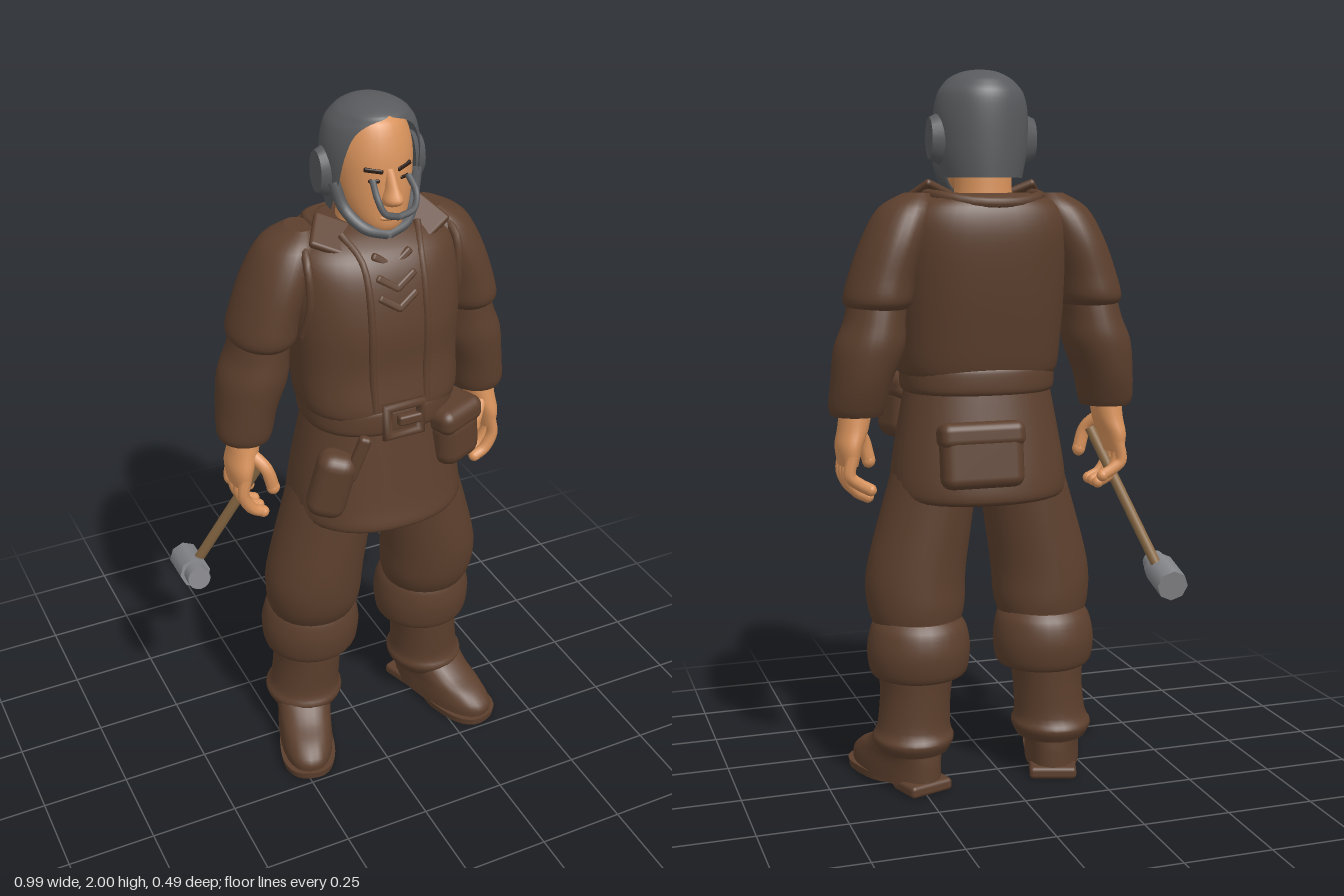
import * as THREE from 'three';
import { RoundedBoxGeometry } from 'three/addons/geometries/RoundedBoxGeometry.js';

const mat = (name, color, side = THREE.FrontSide) => {
  const m = new THREE.MeshStandardMaterial({ color, side });
  m.name = name;
  return m;
};
const cloth = mat('brown cloth', 0x5c3f2d);
const skin = mat('skin', 0xd9935c);
const iron = mat('dark iron', 0x585a5d, THREE.DoubleSide);
const wood = mat('wood', 0x8a6a45);
const steel = mat('steel', 0x85868a);
const dark = mat('dark brow', 0x2c1c14);

const V = (x, y, z) => new THREE.Vector3(x, y, z);
const spline = (a, b, c, d, t) =>
  b + 0.5 * t * (c - a + t * (2 * a - 5 * b + 4 * c - d + t * (3 * (b - c) + d - a)));

// Skin over cross-sections [y, x, z, rx, rz, gap], listed upwards; gap opens the front
function loft(rows, { n = 28, p = 1, steps = 4, open = false } = {}) {
  const rings = [];
  for (let i = 0; i < rows.length - 1; i++) {
    const q = [rows[Math.max(i - 1, 0)], rows[i], rows[i + 1], rows[Math.min(i + 2, rows.length - 1)]];
    for (let s = 0; s < steps; s++) {
      rings.push(rows[0].map((_, k) => spline(q[0][k], q[1][k], q[2][k], q[3][k], s / steps)));
    }
  }
  rings.push(rows[rows.length - 1]);
  const pos = [], idx = [];
  const addRing = ([y, x, z, rx, rz, gap = 0]) => {
    const g = Math.max(gap, 0);
    for (let j = 0; j < n; j++) {
      const t = open ? g + (2 * Math.PI - 2 * g) * j / (n - 1) : 2 * Math.PI * j / n;
      const s = Math.sin(t), c = Math.cos(t);
      pos.push(x + rx * Math.sign(s) * Math.abs(s) ** p, y, z + rz * Math.sign(c) * Math.abs(c) ** p);
    }
  };
  rings.forEach(addRing);
  const m = open ? n - 1 : n;
  for (let i = 0; i < rings.length - 1; i++) for (let j = 0; j < m; j++) {
    const a = i * n + j, b = i * n + (j + 1) % n;
    idx.push(a, b, a + n, b, b + n, a + n);
  }
  // Flat caps with their own corners
  if (!open) for (const top of [false, true]) {
    const r = rings[top ? rings.length - 1 : 0], base = pos.length / 3;
    addRing(r);
    pos.push(r[1], r[0], r[2]);
    for (let j = 0; j < n; j++) {
      const a = base + j, b = base + (j + 1) % n;
      idx.push(base + n, top ? a : b, top ? b : a);
    }
  }
  const g = new THREE.BufferGeometry();
  g.setAttribute('position', new THREE.Float32BufferAttribute(pos, 3));
  g.setIndex(idx);
  g.computeVertexNormals();
  return g;
}
const tube = (pts, r) => new THREE.TubeGeometry(new THREE.CatmullRomCurve3(pts), 16, r, 8);
const box = (w, h, d, r = 0.02) => new RoundedBoxGeometry(w, h, d, 3, r);

function add(parent, name, geo, material, at = [0, 0, 0], rot = [0, 0, 0]) {
  const m = new THREE.Mesh(geo, material);
  m.name = name;
  m.position.set(...at);
  m.rotation.set(...rot);
  parent.add(m);
  return m;
}
const ball = (parent, name, material, at, size, rot) =>
  add(parent, name, new THREE.SphereGeometry(1, 16, 12), material, at, rot).scale.set(...size);

function buildLeg(body, s, side) {
  const part = (name, rows, opt) =>
    add(body, side + name, loft(rows.map(([y, x, ...r]) => [y, s * x, ...r]), opt), cloth);
  part('Trouser', [[0.46, 0.187, 0, 0.12, 0.115], [0.52, 0.187, 0.01, 0.138, 0.135], [0.62, 0.184, 0.018, 0.141, 0.142],
    [0.8, 0.148, 0.02, 0.129, 0.142], [0.95, 0.12, 0.02, 0.11, 0.14]]);
  part('KneeCuff', [[0.32, 0.187, -0.015, 0.11, 0.11], [0.335, 0.187, -0.015, 0.137, 0.132], [0.4, 0.187, -0.015, 0.146, 0.144],
    [0.46, 0.186, -0.012, 0.136, 0.136], [0.488, 0.186, -0.008, 0.12, 0.12]]);
  part('Gaiter', [[0.11, 0.208, -0.025, 0.1, 0.105], [0.145, 0.208, -0.025, 0.115, 0.124], [0.18, 0.205, -0.022, 0.103, 0.11],
    [0.28, 0.198, -0.018, 0.1, 0.112], [0.36, 0.195, -0.018, 0.112, 0.115]]);
  // Boot turned outwards
  const boot = new THREE.Group();
  boot.name = side + 'Boot';
  boot.position.set(s * 0.215, 0, -0.02);
  boot.rotation.y = s * 0.32;
  body.add(boot);
  add(boot, 'bootUpper', loft([[0.018, 0, 0.075, 0.08, 0.185], [0.05, 0, 0.075, 0.08, 0.184], [0.085, 0, 0.055, 0.079, 0.163],
    [0.115, 0, 0.025, 0.082, 0.13], [0.16, 0, -0.005, 0.088, 0.1]], { p: 0.85 }), cloth);
  add(boot, 'bootSole', loft([[0, 0, 0.145, 0.08, 0.122], [0.022, 0, 0.145, 0.083, 0.125]], { p: 0.8, steps: 1 }), cloth);
  add(boot, 'bootHeel', box(0.135, 0.035, 0.11, 0.012), cloth, [0, 0.0175, -0.06]);
}

function buildArm(body, s, side) {
  const part = (name, rows, material) =>
    add(body, side + name, loft(rows.map(([y, x, ...r]) => [y, s * x, ...r])), material);
  part('UpperSleeve', [[1.36, 0.303, -0.045, 0.075, 0.1], [1.385, 0.302, -0.045, 0.092, 0.125], [1.45, 0.288, -0.043, 0.09, 0.125],
    [1.55, 0.252, -0.042, 0.088, 0.12], [1.63, 0.215, -0.04, 0.078, 0.095], [1.67, 0.19, -0.04, 0.035, 0.05]], cloth);
  part('LowerSleeve', [[1.075, 0.362, -0.04, 0.07, 0.072], [1.1, 0.361, -0.042, 0.078, 0.083], [1.17, 0.35, -0.05, 0.083, 0.1],
    [1.26, 0.328, -0.052, 0.095, 0.112], [1.33, 0.312, -0.05, 0.083, 0.107], [1.4, 0.3, -0.045, 0.08, 0.1]], cloth);
  part('Palm', [[0.94, 0.388, -0.035, 0.026, 0.064], [0.99, 0.385, -0.035, 0.036, 0.07], [1.04, 0.372, -0.035, 0.042, 0.06],
    [1.11, 0.362, -0.038, 0.045, 0.05]], skin);
  for (let i = 0; i < 4; i++) {
    const z = 0.018 - i * 0.036, drop = i === 3 ? 0.025 : 0;
    const pts = [V(s * 0.386, 0.97, z), V(s * 0.394, 0.915, z), V(s * 0.37, 0.868 + drop, z), V(s * 0.338, 0.85 + drop, z)];
    add(body, side + 'Finger', tube(pts, 0.017), skin);
    ball(body, side + 'FingerTip', skin, pts[3].toArray(), [0.017, 0.017, 0.017]);
  }
  const thumb = [V(s * 0.365, 1.04, -0.005), V(s * 0.33, 0.995, 0.03), V(s * 0.313, 0.935, 0.035)];
  add(body, side + 'Thumb', tube(thumb, 0.019), skin);
  ball(body, side + 'ThumbTip', skin, thumb[2].toArray(), [0.019, 0.022, 0.019]);
}

function buildHead(body) {
  const head = new THREE.Group();
  head.name = 'head';
  body.add(head);
  add(head, 'neck', loft([[1.58, 0, -0.03, 0.1, 0.09], [1.66, 0, -0.035, 0.08, 0.078], [1.76, 0, -0.035, 0.078, 0.075]]), skin);
  add(head, 'face', loft([[1.665, 0, 0.065, 0.035, 0.035], [1.69, 0, 0.045, 0.065, 0.07], [1.735, 0, 0.025, 0.087, 0.092],
    [1.8, 0, 0.005, 0.101, 0.11], [1.88, 0, -0.005, 0.104, 0.112], [1.95, 0, -0.01, 0.082, 0.092], [1.975, 0, -0.01, 0.04, 0.05]]), skin);
  add(head, 'nose', loft([[1.755, 0, 0.12, 0.024, 0.025], [1.77, 0, 0.125, 0.027, 0.034], [1.8, 0, 0.115, 0.017, 0.027],
    [1.845, 0, 0.1, 0.012, 0.015]], { n: 12 }), skin);
  ball(head, 'lowerLip', skin, [0, 1.715, 0.107], [0.032, 0.01, 0.016]);
  // Helmet shell with an arched face opening
  add(head, 'helmet', loft([[1.71, 0, -0.015, 0.112, 0.122, 1.5], [1.78, 0, -0.013, 0.126, 0.127, 1.15], [1.87, 0, -0.012, 0.13, 0.129, 0.95],
    [1.93, 0, -0.012, 0.119, 0.124, 0.78], [1.96, 0, -0.006, 0.1, 0.112, 0.5], [1.978, 0, 0, 0.08, 0.097, 0],
    [1.994, 0, -0.002, 0.045, 0.055, 0], [2, 0, -0.003, 0.001, 0.001, 0]], { n: 40, open: true }), iron);
  for (const s of [-1, 1]) {
    const cup = add(head, 'earCup', new THREE.CylinderGeometry(0.045, 0.058, 0.034, 20), iron, [s * 0.131, 1.815, -0.02], [0, 0, -s * Math.PI / 2]);
    cup.scale.set(1.25, 1, 0.85);
    add(head, 'chinStrap', tube([V(s * 0.118, 1.8, 0.025), V(s * 0.098, 1.73, 0.045), V(s * 0.06, 1.685, 0.088), V(0, 1.665, 0.1)], 0.016), iron);
    add(head, 'moustache', tube([V(s * 0.05, 1.82, 0.11), V(s * 0.054, 1.785, 0.148), V(s * 0.04, 1.75, 0.163), V(0, 1.735, 0.162)], 0.009), iron);
    add(head, 'brow', box(0.05, 0.012, 0.009, 0.004), dark, [s * 0.043, 1.842, 0.1], [0, s * 0.4, s * 0.15]);
    add(head, 'eye', box(0.03, 0.01, 0.009, 0.004), dark, [s * 0.042, 1.815, 0.102], [0, s * 0.4, 0]);
  }
}

function buildClothes(body) {
  add(body, 'skirt', loft([[0.825, 0, 0.025, 0.225, 0.195], [0.84, 0, 0.025, 0.248, 0.213], [0.9, 0, 0.022, 0.247, 0.205],
    [1.02, 0, 0.025, 0.228, 0.185], [1.17, 0, 0.03, 0.2, 0.16]], { n: 36, p: 0.9 }), cloth);
  add(body, 'vest', loft([[1.165, 0, 0.03, 0.2, 0.155], [1.19, 0, 0.03, 0.225, 0.172], [1.3, 0, 0.012, 0.231, 0.175], [1.42, 0, 0.002, 0.238, 0.184],
    [1.54, 0, -0.015, 0.242, 0.178], [1.61, 0, -0.028, 0.232, 0.158], [1.65, 0, -0.042, 0.19, 0.125], [1.67, 0, -0.045, 0.12, 0.09]], { n: 40, p: 0.82 }), cloth);
  add(body, 'belt', loft([[1.125, 0, 0.03, 0.208, 0.17], [1.14, 0, 0.03, 0.216, 0.177], [1.185, 0, 0.03, 0.216, 0.176], [1.2, 0, 0.03, 0.21, 0.17]], { n: 36, p: 0.85 }), cloth);
  add(body, 'buckle', new THREE.TorusGeometry(0.05, 0.014, 8, 4).rotateZ(Math.PI / 4), cloth, [0, 1.17, 0.21]).scale.set(1.4, 1.2, 1);
  add(body, 'buckleTongue', box(0.07, 0.03, 0.025, 0.008), cloth, [0.015, 1.17, 0.214]);
  add(body, 'backCollar', tube([V(-0.15, 1.665, 0), V(-0.14, 1.66, -0.1), V(-0.06, 1.645, -0.16), V(0.06, 1.645, -0.16),
    V(0.14, 1.66, -0.1), V(0.15, 1.665, 0)], 0.016), cloth);
  for (const s of [-1, 1]) {
    add(body, 'vestEdge', tube([V(s * 0.075, 1.2, 0.192), V(s * 0.078, 1.3, 0.18), V(s * 0.08, 1.42, 0.178), V(s * 0.08, 1.54, 0.154),
      V(s * 0.085, 1.61, 0.118), V(s * 0.11, 1.66, 0.05)], 0.011), cloth);
    add(body, 'collarFlap', box(0.1, 0.022, 0.11, 0.01), cloth, [s * 0.135, 1.66, 0.035], [0.55, s * 0.5, s * 0.15]);
    add(body, 'armholeSeam', tube([V(s * 0.19, 1.66, -0.04), V(s * 0.215, 1.61, 0.07), V(s * 0.215, 1.5, 0.09), V(s * 0.225, 1.4, 0.06)], 0.012), cloth);
  }
  // Crossed lacing
  [[1.6, 0.125], [1.55, 0.152], [1.5, 0.167]].forEach(([y, z]) => {
    for (const s of [-1, 1]) add(body, 'lace', box(0.075, 0.022, 0.02, 0.008), cloth, [s * 0.025, y, z], [-0.3, 0, s * 0.6]);
  });
  // Pouches on the belt
  add(body, 'leftPouch', box(0.145, 0.16, 0.14, 0.045), cloth, [0.17, 1.055, 0.15], [0, 0.35, 0.08]);
  add(body, 'leftPouchFlap', box(0.155, 0.075, 0.15, 0.03), cloth, [0.165, 1.125, 0.148], [0, 0.35, 0.08]);
  add(body, 'rightPouch', box(0.11, 0.2, 0.1, 0.04), cloth, [-0.19, 0.985, 0.155], [0, -0.4, -0.25]);
  add(body, 'rightPouchStrap', box(0.035, 0.14, 0.03, 0.012), cloth, [-0.13, 1.07, 0.195], [0, -0.3, -0.35]);
  add(body, 'backPouch', box(0.23, 0.17, 0.08, 0.03), cloth, [0.05, 0.965, -0.178], [0.12, 0, 0]);
  add(body, 'backPouchFlap', box(0.24, 0.07, 0.085, 0.025), cloth, [0.05, 1.025, -0.172], [0.12, 0, 0]);
}

function buildHammer(group) {
  const hammer = new THREE.Group();
  hammer.name = 'hammer';
  group.add(hammer);
  const low = V(-0.447, 0.575, -0.165), high = V(-0.28, 1.0, 0);
  const dir = high.clone().sub(low);
  const handle = add(hammer, 'handle', new THREE.CylinderGeometry(0.015, 0.015, dir.length(), 12), wood, low.clone().lerp(high, 0.5).toArray());
  handle.quaternion.setFromUnitVectors(V(0, 1, 0), dir.normalize());
  const head = new THREE.Group();
  head.name = 'hammerHead';
  head.position.set(-0.449, 0.59, -0.16);
  head.rotation.set(-0.2, -0.08, -0.38);
  hammer.add(head);
  add(head, 'headBlock', new THREE.CylinderGeometry(0.045, 0.045, 0.125, 8).rotateY(Math.PI / 8).rotateX(Math.PI / 2), steel, [0, 0, -0.015]);
  add(head, 'strikingFace', new THREE.CylinderGeometry(0.033, 0.033, 0.05, 16).rotateX(Math.PI / 2), steel, [0, 0, 0.068]);
}

export function createModel() {
  const group = new THREE.Group();
  group.name = 'craftsman';
  const body = new THREE.Group();
  body.name = 'body';
  body.position.x = 0.053;
  group.add(body);
  buildClothes(body);
  buildHead(body);
  for (const [s, side] of [[1, 'left'], [-1, 'right']]) {
    buildLeg(body, s, side);
    buildArm(body, s, side);
  }
  buildHammer(group);
  return group;
}
